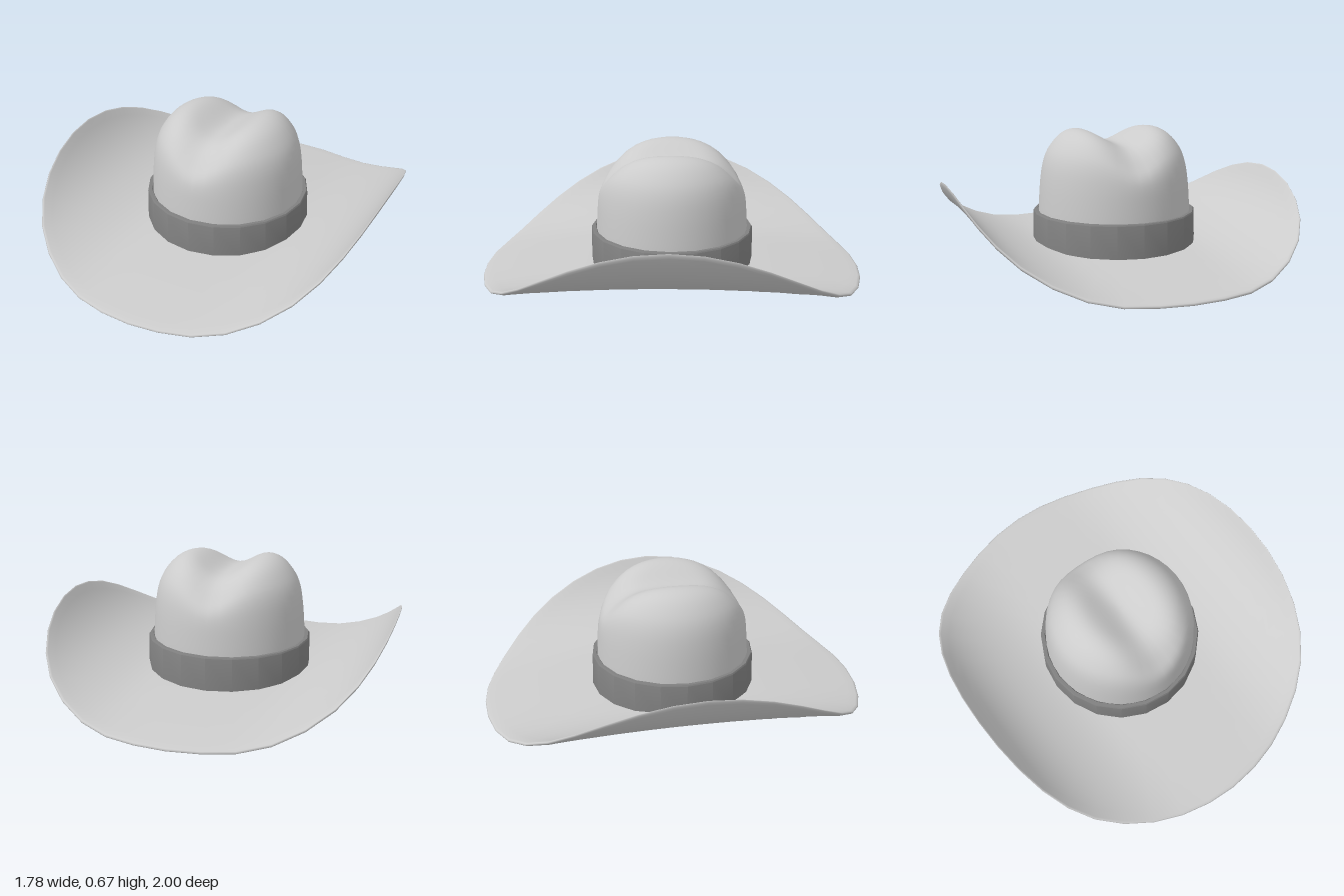
import * as THREE from 'three';
import { mergeVertices, toCreasedNormals } from 'three/addons/utils/BufferGeometryUtils.js';

const material = (color = 0xcccccc, extra = {}) => new THREE.MeshStandardMaterial({ color, ...extra });
const v2 = (x, y) => new THREE.Vector2(x, y);

// Lathe a profile, move its vertices by a rule, then weld it smooth
function bentLathe(points, sides, rule) {
  let geo = new THREE.LatheGeometry(points, sides);
  geo.deleteAttribute('uv');
  geo.deleteAttribute('normal');
  const pos = geo.attributes.position;
  const p = new THREE.Vector3();
  for (let i = 0; i < pos.count; i++) {
    rule(p.fromBufferAttribute(pos, i));
    pos.setXYZ(i, p.x, p.y, p.z);
  }
  geo = mergeVertices(geo, 1e-4);
  geo.computeVertexNormals();
  return geo;
}

// Brim rule: front and back droop, sides curl up and in
function curlBrim(p) {
  const ax = Math.abs(p.x);
  p.y += 0.08 - 0.06 * p.z * p.z + 0.69 * Math.max(0, ax - 0.3) ** 1.9;
  p.x -= Math.sign(p.x) * 0.11 * (Math.max(0, ax - 0.6) / 0.4) ** 2;
}

// Crown rule: a crease along z, fading out down the front and back
function creaseCrown(p) {
  const fade = THREE.MathUtils.smoothstep(p.y, 0.35, 0.65);
  p.y -= 0.105 * fade * Math.exp(-((p.x / 0.14) ** 2));
}

function createModel() {
  const hat = new THREE.Group();
  hat.name = 'hat';
  const add = (name, geometry, mat) => {
    const mesh = new THREE.Mesh(geometry, mat);
    mesh.name = name;
    hat.add(mesh);
  };

  // Brim: thin closed ring with a rounded rim
  const inner = 0.39, outer = 0.985, steps = 14;
  const under = [], over = [];
  for (let i = 0; i <= steps; i++) {
    const r = inner + (outer - inner) * i / steps;
    under.push(v2(r, -0.02));
    over.unshift(v2(r, 0));
  }
  const rim = [v2(0.996, -0.016), v2(1, -0.01), v2(0.996, -0.004)];
  add('brim', bentLathe([...under, ...rim, ...over, under[0].clone()], 40, curlBrim), material());

  // Crown: domed shell pinched along the top
  const profile = new THREE.SplineCurve([
    v2(0.4, 0.17), v2(0.398, 0.26), v2(0.388, 0.4), v2(0.371, 0.5), v2(0.34, 0.572),
    v2(0.28, 0.642), v2(0.2, 0.684), v2(0.1, 0.698), v2(0, 0.7),
  ]).getSpacedPoints(32);
  profile[profile.length - 1].x = 0;
  add('crown', bentLathe(profile, 40, creaseCrown), material(0xcccccc, { side: THREE.DoubleSide }));

  // Hat band: closed ring around the foot of the crown
  const band = new THREE.LatheGeometry([
    v2(0.4, 0.06), v2(0.43, 0.06), v2(0.426, 0.235), v2(0.421, 0.242),
    v2(0.405, 0.242), v2(0.4, 0.235), v2(0.4, 0.06),
  ], 20);
  add('hatBand', toCreasedNormals(band, 0.6), material(0x808080));

  // Inner band: faceted lining seen through the opening
  const lining = new THREE.CylinderGeometry(0.394, 0.394, 0.13, 20, 1, true);
  lining.translate(0, 0.125, 0);
  add('innerBand', lining, material(0xcccccc, { side: THREE.DoubleSide, flatShading: true }));

  return hat;
}

export { createModel };
